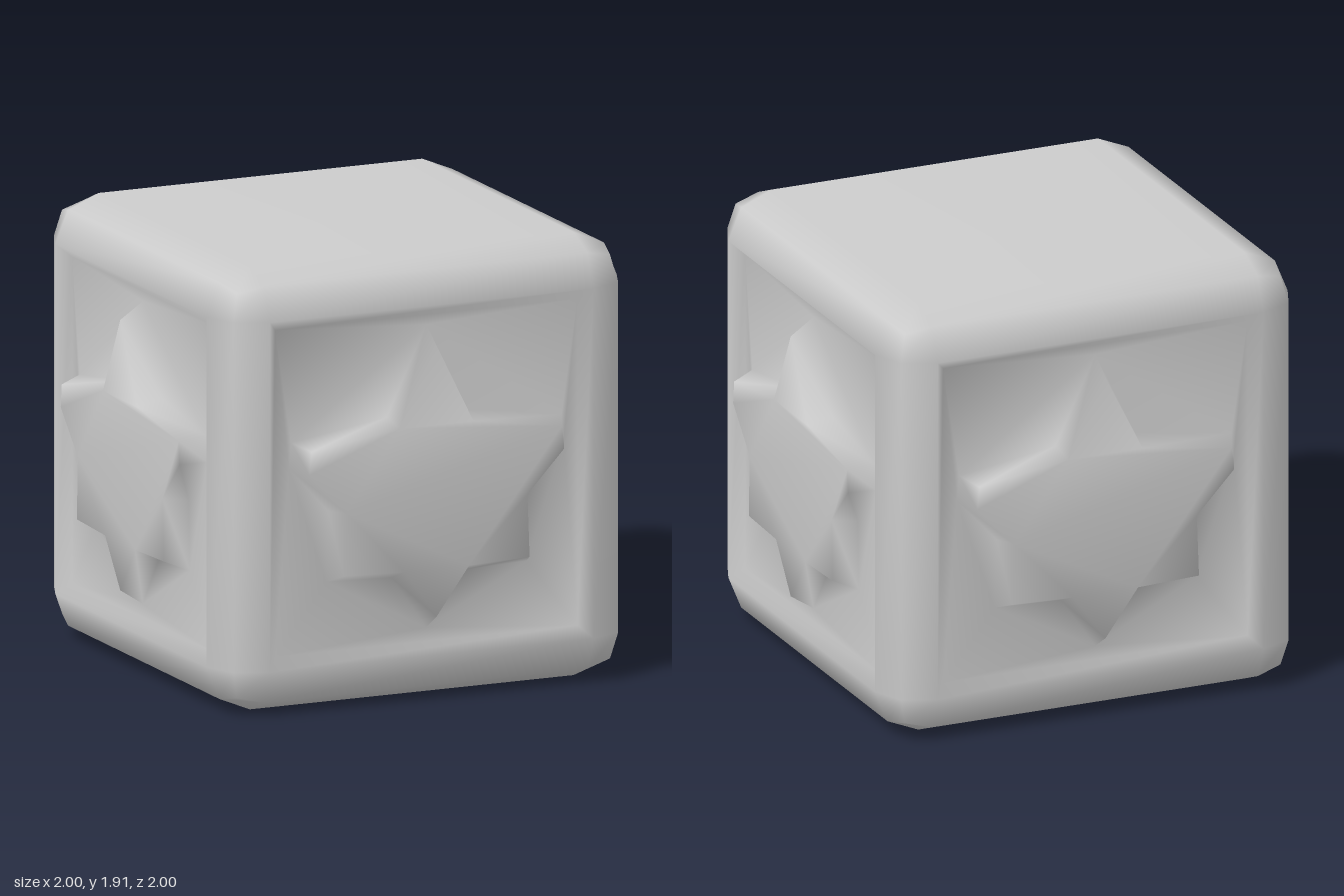
import * as THREE from 'three';
import { mergeGeometries, mergeVertices } from 'three/addons/utils/BufferGeometryUtils.js';

const HALF = 0.95;            // half width of the cube
const HALF_Y = 0.955;         // half height of the cube
const CORE = 0.75;            // where the edge rounding begins
const RADIUS = HALF - CORE;   // edge rounding
const PANEL = 0.7;            // half width of the sunken panels
const PANEL_Z = 0.895;        // depth position of the sunken panels
const STAR_Z = 1;             // depth position of the star faces

// Loose triangles with positions only, ready to be welded to their neighbours
function positionsOnly(geometry) {
  const loose = geometry.toNonIndexed();
  loose.deleteAttribute('uv');
  loose.deleteAttribute('normal');
  loose.clearGroups();
  return loose;
}

// Weld all parts, drop collapsed triangles and shade smoothly over the edges
function weld(geometries) {
  const welded = mergeVertices(mergeGeometries(geometries), 1e-4);
  const index = welded.index.array;
  const kept = [];
  for (let i = 0; i < index.length; i += 3) {
    const [a, b, c] = index.slice(i, i + 3);
    if (a !== b && b !== c && c !== a) kept.push(a, b, c);
  }
  welded.setIndex(kept);
  welded.computeVertexNormals();
  return welded;
}

// Rounded cube with a square opening, framed by a sloping rim, on four sides
function bodyGeometry() {
  const steps = [-HALF, -CORE, -PANEL, PANEL, CORE, HALF];
  const geometry = new THREE.BoxGeometry(5, 5, 5, 5, 5, 5);
  const pos = geometry.attributes.position;
  const p = new THREE.Vector3();
  const inner = new THREE.Vector3();
  const opening = new Set();
  for (let i = 0; i < pos.count; i++) {
    p.fromBufferAttribute(pos, i);
    p.set(...p.toArray().map((v) => steps[Math.round(v + 2.5)]));
    const inX = Math.abs(p.x) <= PANEL;
    const inY = Math.abs(p.y) <= PANEL;
    const inZ = Math.abs(p.z) <= PANEL;
    if (inY && (inX || inZ)) {
      if (inX) p.z = Math.sign(p.z) * PANEL_Z;
      else p.x = Math.sign(p.x) * PANEL_Z;
      opening.add(i);
    } else {
      // Outside the panels the inner grid lines fall onto the rounding's start
      p.set(...p.toArray().map((v) => (Math.abs(v) === PANEL ? Math.sign(v) * CORE : v)));
      inner.copy(p).clampScalar(-CORE, CORE);
      p.sub(inner).setLength(RADIUS).add(inner);
    }
    pos.setXYZ(i, p.x, p.y * HALF_Y / HALF, p.z);
  }
  const index = Array.from(geometry.index.array);
  const kept = [];
  for (let i = 0; i < index.length; i += 3) {
    const corners = index.slice(i, i + 3);
    if (!corners.every((c) => opening.has(c))) kept.push(...corners);
  }
  geometry.setIndex(kept);
  return positionsOnly(geometry);
}

// Sunken panel from which a star rises with sloping sides
function starPanelGeometry() {
  const right = [[0.17, 0.25], [0.58, 0.19], [0.59, 0.09], [0.42, -0.09], [0.43, -0.36], [0.15, -0.37]];
  const left = right.map(([x, y]) => [-x, y]).reverse();
  const face = [[0, 0.59], ...right, [0, -0.575], ...left].map(([x, y]) => new THREE.Vector2(x, y));
  const base = face.map((v) => new THREE.Vector2(v.x * 1.08, v.y * 1.12));

  const py = PANEL * HALF_Y / HALF;
  const square = [[-PANEL, -py], [PANEL, -py], [PANEL, py], [-PANEL, py]];
  const panelShape = new THREE.Shape(square.map(([x, y]) => new THREE.Vector2(x, y)));
  panelShape.holes.push(new THREE.Path(base));
  const panel = new THREE.ShapeGeometry(panelShape).translate(0, 0, PANEL_Z);
  const top = new THREE.ShapeGeometry(new THREE.Shape(face)).translate(0, 0, STAR_Z);

  const corners = [];
  face.forEach((a, i) => {
    const j = (i + 1) % face.length;
    const topA = [a.x, a.y, STAR_Z];
    const topB = [face[j].x, face[j].y, STAR_Z];
    const baseA = [base[i].x, base[i].y, PANEL_Z];
    const baseB = [base[j].x, base[j].y, PANEL_Z];
    corners.push(...topA, ...baseB, ...baseA, ...topA, ...topB, ...baseB);
  });
  const sides = new THREE.BufferGeometry();
  sides.setAttribute('position', new THREE.Float32BufferAttribute(corners, 3));
  return mergeGeometries([positionsOnly(panel), positionsOnly(top), sides]);
}

export function createModel() {
  const lightGrey = new THREE.MeshStandardMaterial({ color: 0xcccccc });
  lightGrey.name = 'light grey';
  const group = new THREE.Group();
  group.name = 'starBlock';

  // One star panel on each side, welded into the body
  const starPanel = starPanelGeometry();
  const panels = [0, 1, 2, 3].map((i) => starPanel.clone().rotateY(i * Math.PI / 2));
  const block = new THREE.Mesh(weld([bodyGeometry(), ...panels]), lightGrey);
  block.name = 'blockWithStarPanels';
  block.position.y = HALF_Y;
  group.add(block);
  return group;
}
